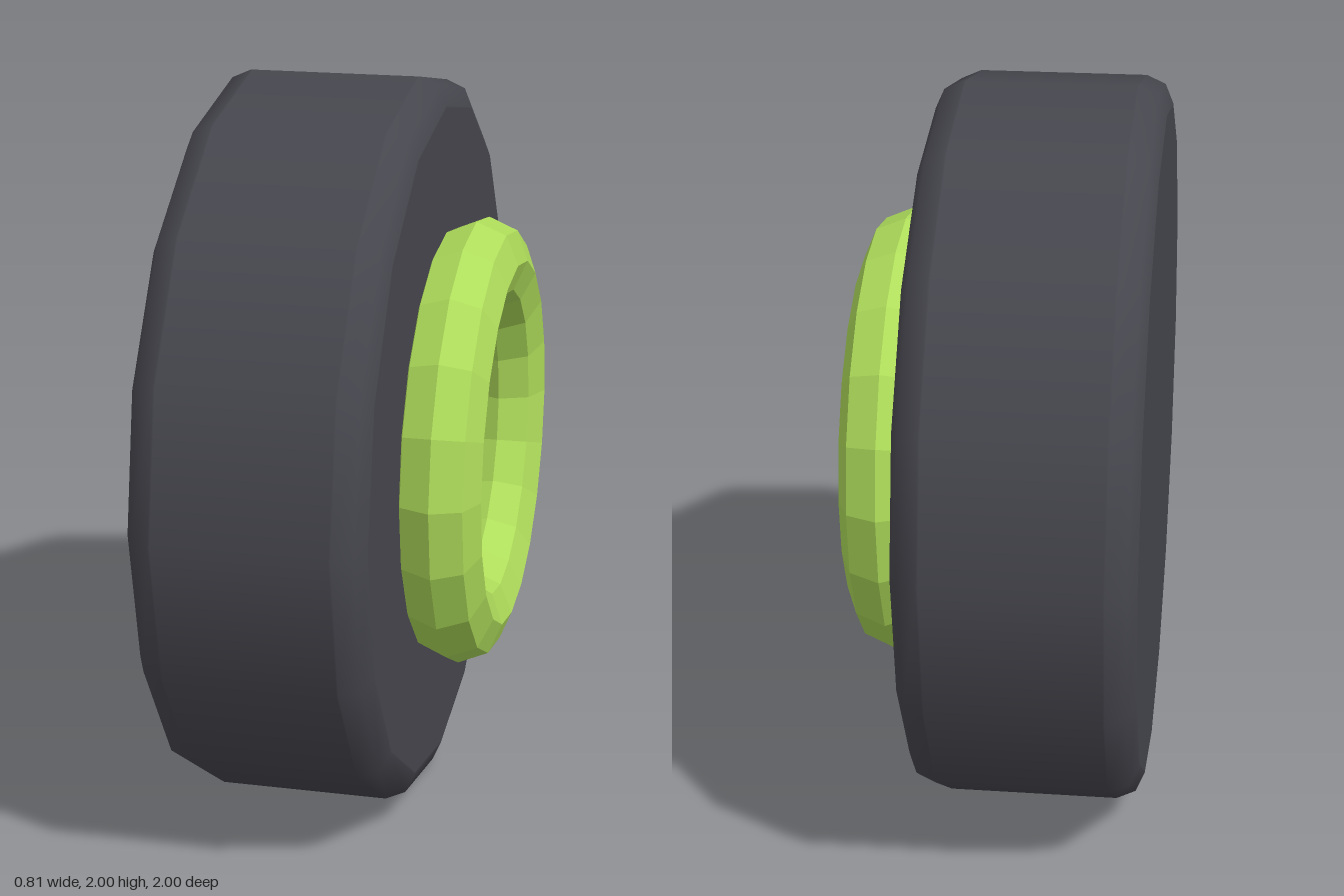
import * as THREE from 'three';

export function createModel() {
  const model = new THREE.Group();
  model.name = 'wheel';
  const rubber = new THREE.MeshStandardMaterial({ color: 0x46464e });
  rubber.name = 'dark rubber';
  const lime = new THREE.MeshStandardMaterial({ color: 0xaedc5a, flatShading: true });
  lime.name = 'lime green';

  // Tyre: bevelled 16-sided disc; extra points beside the bevels keep the flats flat
  const half = 0.305, bevel = 0.075, inset = 0.023, hold = 0.005;
  const side = [
    [0, half],
    [1 - bevel - hold, half],
    [1 - bevel, half],
    [1 - inset, half - inset],
    [1, half - bevel],
    [1, half - bevel - hold],
  ];
  const profile = [
    ...side.map(([r, h]) => new THREE.Vector2(r, -h)),
    ...side.slice().reverse().map(([r, h]) => new THREE.Vector2(r, h)),
  ];
  const tyreGeometry = new THREE.LatheGeometry(profile, 16);
  tyreGeometry.rotateZ(-Math.PI / 2);
  const tyre = new THREE.Mesh(tyreGeometry, rubber);
  tyre.name = 'tyre';
  tyre.position.set(-0.1, 1, 0);
  model.add(tyre);

  // Hub ring: faceted torus partly sunk into the outer face
  const ringGeometry = new THREE.TorusGeometry(0.5, 0.115, 8, 20);
  ringGeometry.rotateY(Math.PI / 2);
  const ring = new THREE.Mesh(ringGeometry, lime);
  ring.name = 'hubRing';
  ring.position.set(0.29, 1, 0);
  model.add(ring);

  return model;
}
